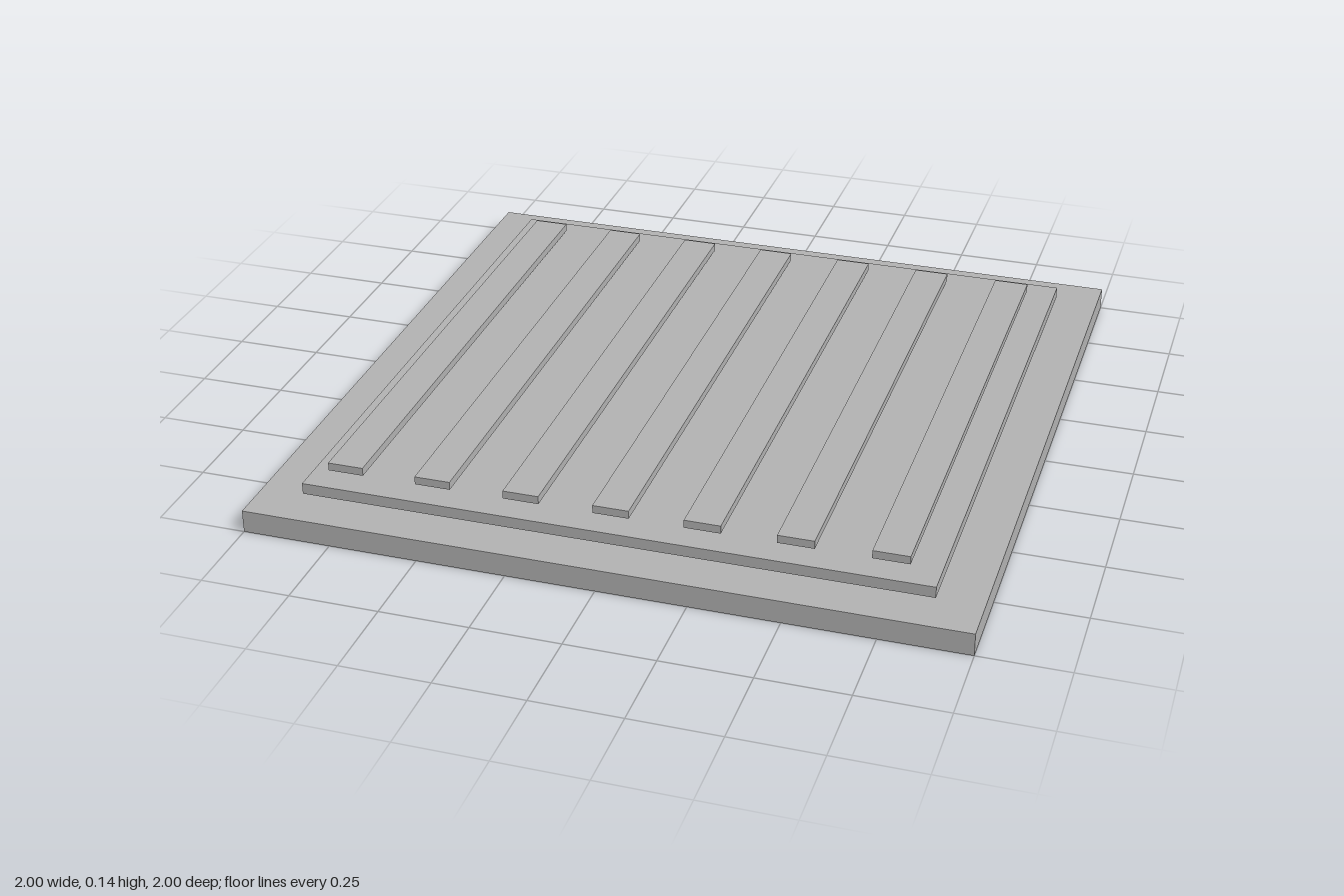
import * as THREE from 'three';

export function createModel() {
  const model = new THREE.Group();
  const gray = new THREE.MeshStandardMaterial({ color: 0xb2b2b2 });
  gray.name = 'gray';

  // Flat slab spanning bottom..top in height, centred on x
  const slab = (name, width, depth, bottom, top, x = 0) => {
    const mesh = new THREE.Mesh(new THREE.BoxGeometry(width, top - bottom, depth), gray);
    mesh.name = name;
    mesh.position.set(x, (bottom + top) / 2, 0);
    model.add(mesh);
  };

  // Base plate and the thinner panel hovering just above it
  slab('basePlate', 2, 2, 0, 0.065);
  slab('panel', 1.748, 1.77, 0.075, 0.107);

  // Seven evenly spaced slats running front to back, set slightly to the right
  for (let i = 0; i < 7; i++) {
    slab(`slat${i + 1}`, 0.101, 1.63, 0.117, 0.14, -0.776 + i * 0.2528);
  }

  return model;
}
